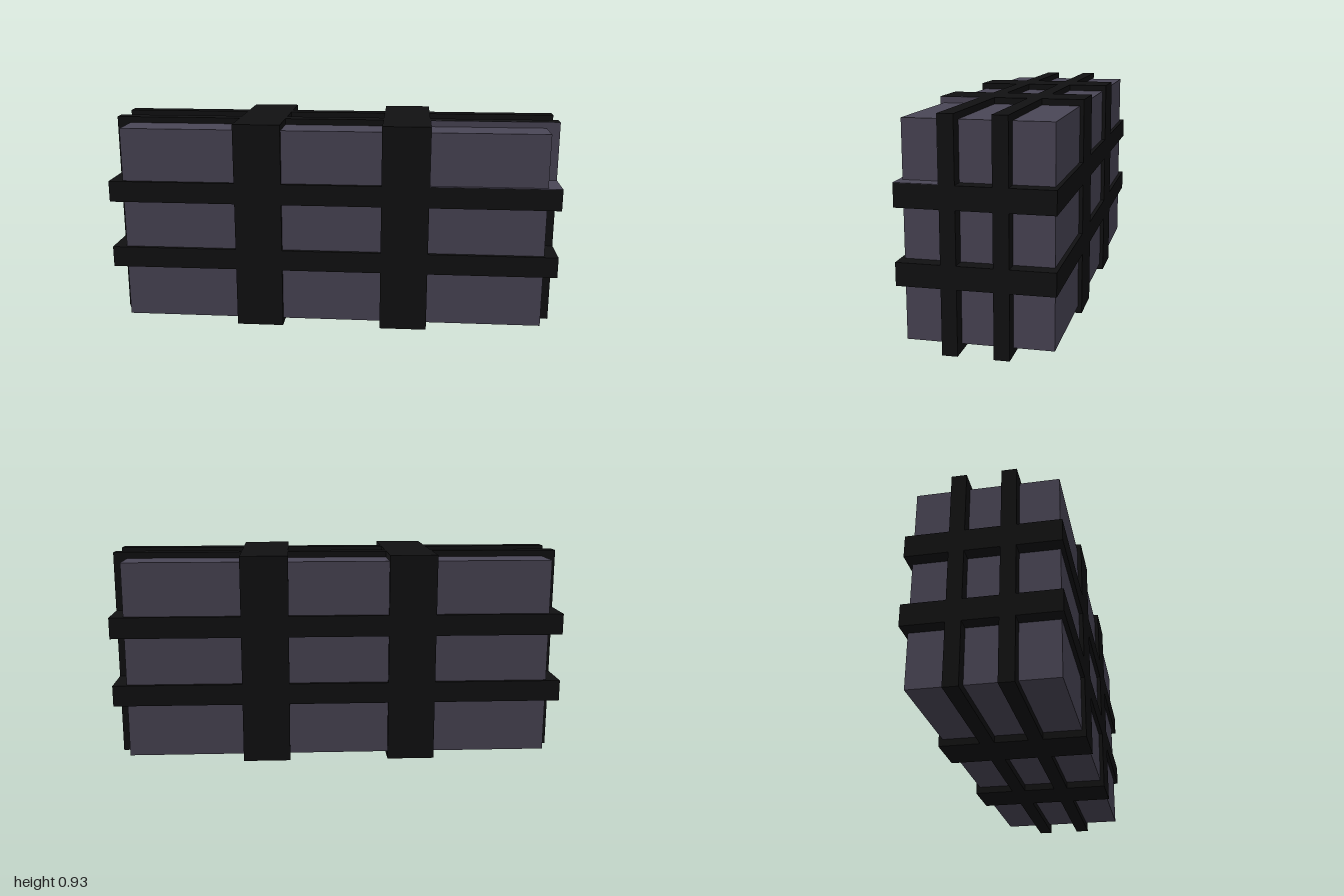
import * as THREE from 'three';

export function createModel() {
  const model = new THREE.Group();
  const panel = new THREE.MeshStandardMaterial({ color: 0x4a4656 });
  const strap = new THREE.MeshStandardMaterial({ color: 0x111112 });

  // Box given by its minimum and maximum corners
  const box = (name, material, [x0, y0, z0], [x1, y1, z1]) => {
    const mesh = new THREE.Mesh(new THREE.BoxGeometry(x1 - x0, y1 - y0, z1 - z0), material);
    mesh.position.set((x0 + x1) / 2, (y0 + y1) / 2, (z0 + z1) / 2);
    mesh.name = name;
    model.add(mesh);
  };

  const X = 1, H = 0.928, Z = 0.311; // outer extent of the straps

  // Solid block whose faces show as panels between the straps
  box('core', panel, [-0.94, 0.03, -0.294], [0.94, 0.901, 0.294]);

  // Wide bands around the middle, across the length
  box('crossBandRight', strap, [-0.433, 0, -Z], [-0.223, H, Z]);
  box('crossBandLeft', strap, [0.22, 0, -Z], [0.43, H, Z]);

  // Level bands running around the sides
  box('levelBandLower', strap, [-X, 0.265, -Z], [X, 0.358, Z]);
  box('levelBandUpper', strap, [-X, 0.57, -Z], [X, 0.664, Z]);

  // Upright bands running lengthwise over top, ends and bottom
  box('uprightBandFront', strap, [-X, 0, 0.071], [X, H, 0.133]);
  box('uprightBandBack', strap, [-X, 0, -0.133], [X, H, -0.071]);

  // Panel-coloured linings on the band sides around the upper front left corner
  const t = 0.002;
  box('cornerLiningSide', panel, [0.43, 0.664, 0.133], [0.43 + t, H, Z]);
  box('cornerLiningBottom', panel, [0.43, 0.664, 0.133], [X, 0.664 + t, Z]);
  box('cornerLiningBack', panel, [0.43, 0.664, 0.133], [X, H, 0.133 + t]);

  return model;
}
